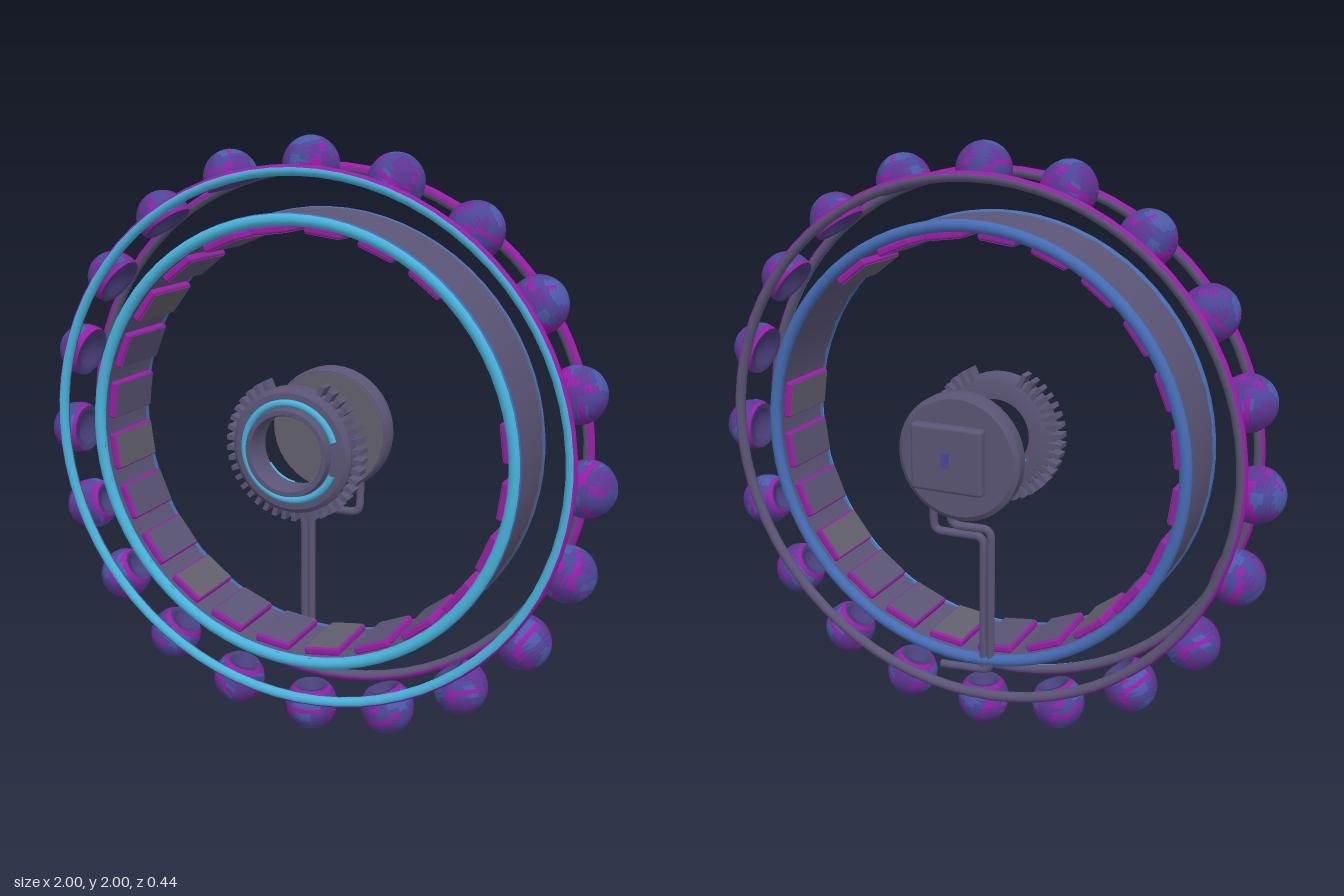
import * as THREE from 'three';
import { toCreasedNormals } from 'three/addons/utils/BufferGeometryUtils.js';
import { RoundedBoxGeometry } from 'three/addons/geometries/RoundedBoxGeometry.js';

const mat = (name, color, side = THREE.FrontSide) => {
  const m = new THREE.MeshStandardMaterial({ color, side });
  m.name = name;
  return m;
};

export function createModel() {
  const slate = mat('slate violet', 0x5a5575);
  const grey = mat('warm grey', 0x62606c);
  const magenta = mat('magenta', 0x9a1ca8);
  const cyan = mat('cyan', 0x48b4dc);
  const blue = mat('blue', 0x456cb4);
  const indigo = mat('indigo', 0x4c4698);
  const ballBlue = mat('dusky blue', 0x4a5aa8);
  const violet = mat('violet', 0x5e3594);
  const socketMat = mat('socket violet', 0x48407a, THREE.DoubleSide);

  const model = new THREE.Group();
  model.name = 'wheel';
  const CY = 1.03;

  const add = (name, geo, material, x = 0, y = 0, z = 0, parent = model) => {
    const m = new THREE.Mesh(geo, material);
    m.name = name;
    m.position.set(x, y, z);
    parent.add(m);
    return m;
  };

  // Turned part around the z axis; profile is [radius, z], closed counter-clockwise
  const turned = (pts, seg) => toCreasedNormals(
    new THREE.LatheGeometry(pts.map(p => new THREE.Vector2(p[0], p[1])), seg).rotateX(Math.PI / 2), 0.6);
  const ringProfile = (ri, ro, z0, z1) => [[ro, z0], [ro, z1], [ri, z1], [ri, z0], [ro, z0]];

  // Round hoop whose colour depends on the direction each strip faces
  const paintedHoop = (name, R, tube, z, mats, pick, sy = 1) => {
    const sides = 12, seg = 72;
    const geo = new THREE.TorusGeometry(R, tube, sides, seg);
    for (let j = 0; j < sides; j++) {
      const v = (j + 0.5) / sides * Math.PI * 2;
      geo.addGroup(j * seg * 6, seg * 6, pick(Math.cos(v), Math.sin(v)));
    }
    add(name, geo, mats, 0, CY, z).scale.y = sy;
  };

  // Outer hoops that carry the balls
  paintedHoop('frontHoop', 0.887, 0.018, 0.135, [cyan, magenta, slate],
    (out, front) => (out > 0.6 ? 1 : front > 0 ? 0 : 2), 0.98);
  paintedHoop('backHoop', 0.887, 0.018, -0.09, [magenta, slate],
    (out, front) => (out > (front > 0 ? 0.1 : 0.6) ? 0 : 1), 0.98);

  // Inner drum with its two rims
  add('drumBand', turned(ringProfile(0.708, 0.738, -0.125, 0.165), 40), slate, 0, CY, 0);
  paintedHoop('frontRim', 0.724, 0.02, 0.156, [cyan, blue],
    (out, front) => (front > (out > 0 ? 0.6 : 0.2) ? 0 : 1));
  paintedHoop('backRim', 0.724, 0.02, -0.116, [blue, slate],
    (out, front) => (front < 0.6 ? 0 : 1));

  // Pads lining the inside of the drum, with two places left empty
  const padGeo = new RoundedBoxGeometry(0.126, 0.026, 0.235, 2, 0.008);
  const faceGeo = new THREE.BoxGeometry(0.114, 0.004, 0.222);
  for (let i = 0; i < 24; i++) {
    if (i === 1 || i === 2) continue;
    const pad = new THREE.Group();
    pad.name = 'pad';
    const a = (i + 0.5) / 24 * Math.PI * 2;
    pad.position.set(Math.cos(a) * 0.692, CY + Math.sin(a) * 0.692, 0.02);
    pad.rotation.z = a - Math.PI / 2;
    add('padBody', padGeo, magenta, 0, 0, 0, pad);
    add('padFace', faceGeo, i % 3 === 0 ? grey : slate, 0, -0.0125, 0, pad);
    model.add(pad);
  }

  // Ball shell cut open toward the centre at angle theta, painted in broad patches and streaks
  const makeShell = theta => {
    const shell = new THREE.SphereGeometry(0.09, 16, 14, 0, Math.PI * 2, 0, theta);
    const buckets = [[], [], [], []];
    const idx = shell.index.array, pos = shell.attributes.position;
    for (let t = 0; t < idx.length; t += 3) {
      const tri = [idx[t], idx[t + 1], idx[t + 2]];
      const mean = f => tri.reduce((s, k) => s + f(k), 0) / 3 / 0.09;
      const x = mean(k => pos.getX(k)), y = mean(k => pos.getY(k)), z = mean(k => pos.getZ(k));
      const phi = Math.atan2(z, x);
      const seam = Math.abs(y - 0.1 - 0.22 * Math.sin(2 * phi + 1)) < 0.09 && Math.sin(3 * phi) > -0.4;
      const streak = Math.abs(Math.sin(1.5 * phi + y)) < 0.13 && y < 0.9;
      const patch = Math.sin(4 * x + 1) + Math.sin(4 * z + 3 * y);
      const c = y < Math.cos(theta) + 0.14 || seam || streak ? 2 : patch > 0.35 ? 0 : patch > -0.6 ? 1 : 3;
      buckets[c].push(...tri);
    }
    shell.setIndex(buckets.flat());
    let start = 0;
    buckets.forEach((b, c) => {
      shell.addGroup(start, b.length, c);
      start += b.length;
    });
    return shell;
  };
  // Hollow socket closing the open side of a ball
  const makeSocket = theta => {
    const r = 0.09 * Math.sin(theta), y = 0.09 * Math.cos(theta);
    return new THREE.LatheGeometry([[0, y + 0.03], [r * 0.55, y + 0.026], [r * 0.68, y + 0.003], [r, y]]
      .map(p => new THREE.Vector2(p[0], p[1])), 16);
  };

  // Balls sit deeper in their seats toward the top of the wheel
  const kinds = [1.85, 2.03, 2.42].map(t => [makeShell(t), makeSocket(t)]);
  for (let i = 0; i < 20; i++) {
    const ball = new THREE.Group();
    ball.name = 'ball';
    const a = i / 20 * Math.PI * 2, s = Math.sin(a);
    const [shell, socket] = kinds[s > 0.2 ? 0 : s > -0.2 ? 1 : 2];
    ball.position.set(Math.cos(a) * 0.91, 1 + s * 0.91 - 0.022 * Math.cos(a) ** 2, 0.018);
    ball.rotation.z = a - Math.PI / 2;
    add('ballShell', shell, [ballBlue, indigo, magenta, violet], 0, 0, 0, ball).rotation.y = i * 1.885;
    add('ballSocket', socket, socketMat, 0, 0, 0, ball);
    model.add(ball);
  }

  // Front hub: stepped open ring with cyan inlays on both faces
  add('hubRing', turned([[0.19, 0.115], [0.205, 0.125], [0.205, 0.17], [0.19, 0.183], [0.145, 0.187],
    [0.14, 0.215], [0.125, 0.215], [0.12, 0.205], [0.12, 0.115], [0.19, 0.115]], 40), slate, 0, CY, 0);
  add('hubInlay', new THREE.TorusGeometry(0.158, 0.012, 8, 48, 5.6), cyan, 0, CY, 0.184).rotation.z = 0.3;
  for (const turn of [0.1, 3.7]) {
    add('hubBackInlay', new THREE.TorusGeometry(0.128, 0.011, 8, 16, 0.9), cyan, 0, CY, 0.115).rotation.z = turn;
  }

  // Teeth around the hub, leaving a gap at the top
  const toothGeo = new THREE.BoxGeometry(0.05, 0.016, 0.05);
  for (let i = 0; i < 42; i++) {
    const a = Math.PI / 2 + i / 42 * Math.PI * 2;
    if (Math.sin(a) > 0.93) continue;
    add('hubTooth', toothGeo, slate, Math.cos(a) * 0.212, CY + Math.sin(a) * 0.212, 0.135).rotation.z = a;
  }

  // Back disc with a raised cover and a small latch
  add('backDisc', turned([[0, -0.19], [0.195, -0.19], [0.212, -0.178], [0.212, -0.135], [0.203, -0.12],
    [0, -0.115]], 40), slate, 0, CY, 0);
  add('discFace', new THREE.CylinderGeometry(0.2, 0.2, 0.006, 40).rotateX(Math.PI / 2), grey, 0, CY, -0.116);
  add('backCover', new RoundedBoxGeometry(0.25, 0.22, 0.05, 2, 0.012), slate, 0.025, CY, -0.198);
  add('latch', new THREE.BoxGeometry(0.025, 0.05, 0.008), indigo, 0.025, CY, -0.224);

  // Paired pipes from the disc down to the drum
  const pipe = (name, pts) => {
    const path = new THREE.CurvePath();
    const v = pts.map(p => new THREE.Vector3(...p));
    let from = v[0];
    for (let i = 1; i < v.length - 1; i++) {
      const inP = v[i].clone().add(v[i - 1].clone().sub(v[i]).setLength(0.03));
      const outP = v[i].clone().add(v[i + 1].clone().sub(v[i]).setLength(0.03));
      path.add(new THREE.LineCurve3(from, inP));
      path.add(new THREE.QuadraticBezierCurve3(inP, v[i], outP));
      from = outP;
    }
    path.add(new THREE.LineCurve3(from, v[v.length - 1]));
    add(name, new THREE.TubeGeometry(path, 90, 0.014, 8), slate);
  };
  pipe('upperPipe', [[0.05, 0.87, -0.14], [0.05, 0.78, -0.13], [-0.088, 0.78, -0.12],
    [-0.088, 0.275, -0.12], [0.09, 0.268, -0.13]]);
  pipe('lowerPipe', [[0.112, 0.87, -0.14], [0.112, 0.752, -0.13], [-0.062, 0.752, -0.12], [-0.062, 0.285, -0.12]]);

  return model;
}
